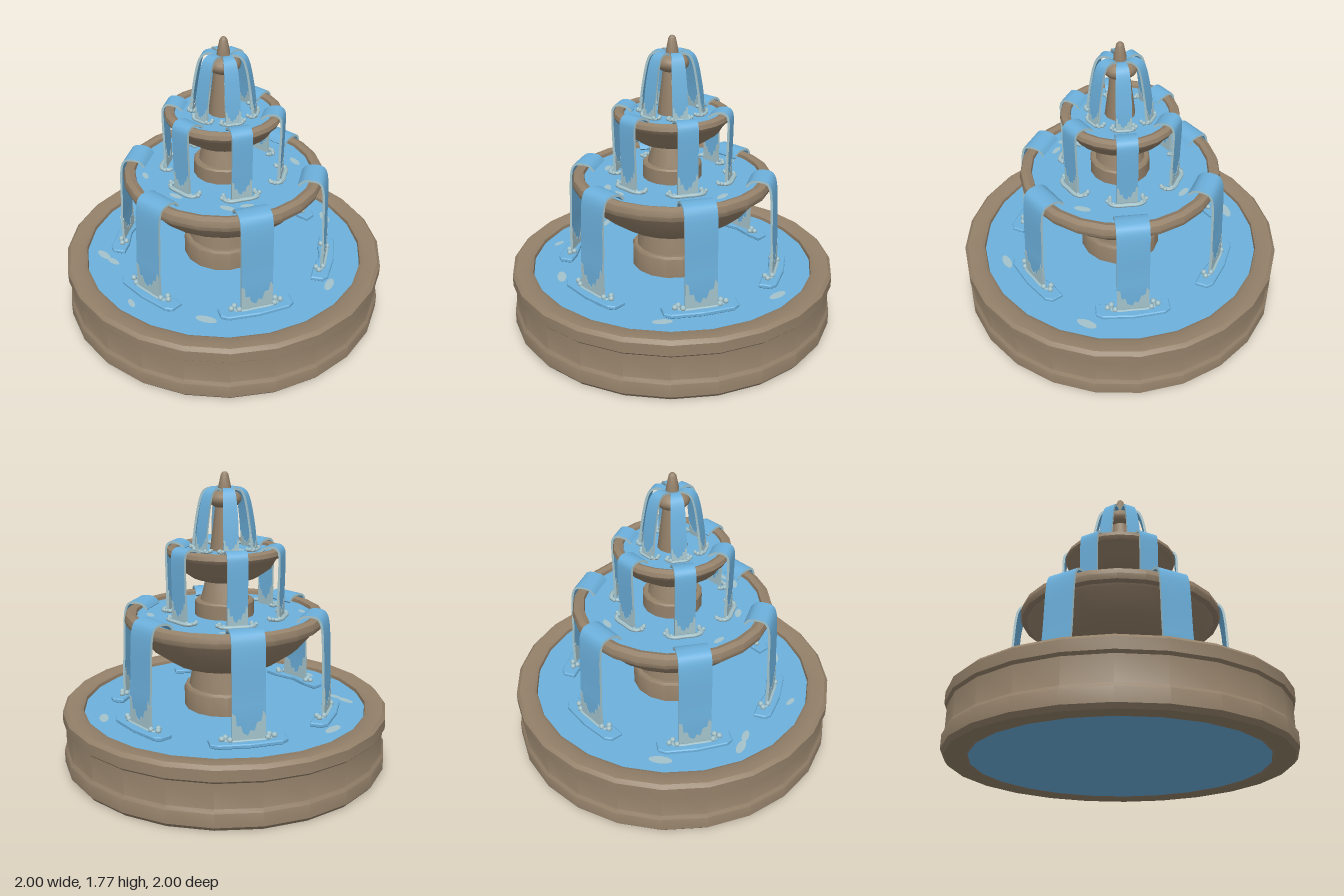
import * as THREE from 'three';
import { toCreasedNormals } from 'three/addons/utils/BufferGeometryUtils.js';

const mat = (name, color) => {
  const m = new THREE.MeshStandardMaterial({ color });
  m.name = name;
  return m;
};

export function createModel() {
  const stone = mat('stone', 0x94816a);
  const water = mat('water', 0x6cb0dc);
  const foam = mat('foam', 0xa4c3cb);
  const root = new THREE.Group();
  root.name = 'fountain';

  const add = (parent, name, geo, material) => {
    const m = new THREE.Mesh(geo, material);
    m.name = name;
    parent.add(m);
    return m;
  };
  const lathe = (name, pts, sides) => add(root, name, toCreasedNormals(
    new THREE.LatheGeometry(pts.map(([r, y]) => new THREE.Vector2(r, y)), sides), 0.65), stone);
  const disc = (name, r, y, up = true) => {
    const m = add(root, name, new THREE.CircleGeometry(r, 48), water);
    m.rotation.x = up ? -Math.PI / 2 : Math.PI / 2;
    m.position.y = y;
  };

  // Stone basin and bowls
  lathe('basin', [[0.85, 0.3], [0.845, 0.01], [0.88, 0], [0.98, 0], [1, 0.025], [1, 0.105], [0.985, 0.125],
    [0.985, 0.27], [1, 0.285], [1, 0.35], [0.98, 0.37], [0.9, 0.37], [0.875, 0.355], [0.865, 0.3]], 24);
  lathe('middleBowl', [[0.01, 0.615], [0.22, 0.615], [0.33, 0.638], [0.46, 0.73], [0.56, 0.85], [0.567, 0.862],
    [0.6, 0.87], [0.61, 0.9], [0.6, 0.933], [0.57, 0.946], [0.54, 0.935], [0.53, 0.89]], 24);
  lathe('upperBowl', [[0.01, 1.13], [0.14, 1.13], [0.2, 1.15], [0.285, 1.21], [0.318, 1.268], [0.335, 1.276],
    [0.348, 1.3], [0.342, 1.324], [0.315, 1.336], [0.29, 1.325], [0.28, 1.29]], 24);

  // Stepped, tapering columns
  lathe('lowerColumn', [[0.25, 0.3], [0.25, 0.455], [0.24, 0.47], [0.22, 0.47], [0.19, 0.63]], 16);
  lathe('middleColumn', [[0.18, 0.88], [0.18, 1.0], [0.172, 1.01], [0.148, 1.01], [0.11, 1.14]], 16);
  lathe('upperColumn', [[0.092, 1.29], [0.055, 1.58]], 12);

  // Knob and finial
  const knob = add(root, 'knob', new THREE.SphereGeometry(0.1, 16, 10), stone);
  knob.scale.y = 0.58;
  knob.position.y = 1.612;
  lathe('finial', [[0.042, 1.64], [0.036, 1.69], [0.022, 1.755], [0.012, 1.768], [0, 1.77]], 10);

  // Still water
  disc('basinWater', 0.87, 0.335);
  disc('basinUnderside', 0.855, 0.008, false);
  disc('middleWater', 0.54, 0.915);
  disc('upperWater', 0.29, 1.31);

  // Water sheet: a thickened path extruded sideways, with foam on its two edges
  const sheet = (path, width, taper) => {
    const curve = new THREE.SplineCurve(path.map(([r, y]) => new THREE.Vector2(r, y)));
    const outer = [], inner = [];
    for (let i = 0; i <= 22; i++) {
      const p = curve.getPoint(i / 22), t = curve.getTangent(i / 22);
      const n = new THREE.Vector2(-t.y, t.x).multiplyScalar(0.007);
      outer.push(p.clone().add(n));
      inner.unshift(p.clone().sub(n));
    }
    const geo = new THREE.ExtrudeGeometry(new THREE.Shape([...outer, ...inner]),
      { depth: width, bevelEnabled: false });
    geo.translate(0, 0, -width / 2);
    if (taper) {
      const p = geo.attributes.position;
      for (let i = 0; i < p.count; i++) {
        const k = THREE.MathUtils.clamp(0.5 + (p.getX(i) - 0.03) * 5, 0.5, 1.2);
        p.setZ(i, p.getZ(i) * k);
      }
    }
    return toCreasedNormals(geo, 0.6);
  };

  // Ragged foam at the foot of a sheet; profile in fractions of width and height
  const ragged = [[-0.5, 0], [-0.5, 1], [-0.4, 0.95], [-0.36, 0.6], [-0.24, 0.62], [-0.18, 0.4],
    [-0.03, 0.3], [0.05, 0.48], [0.16, 0.42], [0.24, 0.7], [0.36, 0.72], [0.42, 1.05], [0.5, 0.9], [0.5, 0]];
  const splash = (w, h) => new THREE.ExtrudeGeometry(
    new THREE.Shape(ragged.map(([x, y]) => new THREE.Vector2(x * w, y * h))),
    { depth: 0.018, bevelEnabled: false }).translate(0, 0, -0.009).rotateY(Math.PI / 2);

  // Flat pool pad spreading from the foot of a lower sheet
  const pad = (r, L) => {
    const s = new THREE.Shape([[r - 0.045, -L], [r - 0.045, -L * 0.6], [r - 0.02, 0], [r - 0.045, L * 0.6],
      [r - 0.045, L], [r + 0.02, L], [r + 0.045, L * 0.85], [r + 0.06, 0], [r + 0.045, -L * 0.85], [r + 0.02, -L]]
      .map(([x, z]) => new THREE.Vector2(x, z)));
    return new THREE.ExtrudeGeometry(s, { depth: 0.015, bevelSize: 0.006, bevelThickness: 0.006, bevelSegments: 1 })
      .rotateX(-Math.PI / 2);
  };

  // Curled foam roll hugging the foot of a sheet
  const roll = (r, L, size) => {
    const c = new THREE.CatmullRomCurve3([[-size * 3, -L], [size * 0.2, -L * 1.02], [size * 1.5, -L * 0.7],
      [size * 1.6, 0], [size * 1.5, L * 0.7], [size * 0.2, L * 1.02], [-size * 3, L]]
      .map(([x, z]) => new THREE.Vector3(r + x, 0, z)));
    return new THREE.TubeGeometry(c, 28, size, 6).scale(1, 0.8, 1);
  };

  // Three tiers of falls, six around each
  const tiers = [
    { name: 'lower', path: [[0.475, 0.92], [0.505, 0.952], [0.56, 0.96], [0.607, 0.94], [0.628, 0.85],
      [0.638, 0.62], [0.645, 0.5], [0.645, 0.33]], width: 0.19, y: 0.34, foot: 0.19, L: 0.125, size: 0.01, pad: true },
    { name: 'middle', path: [[0.235, 1.312], [0.262, 1.335], [0.31, 1.346], [0.343, 1.33], [0.354, 1.28],
      [0.352, 1.1], [0.35, 1.0], [0.35, 0.91]], width: 0.12, y: 0.918, foot: 0.13, L: 0.095, size: 0.015 },
    { name: 'upper', path: [[0.03, 1.655], [0.07, 1.673], [0.115, 1.66], [0.142, 1.6], [0.165, 1.48],
      [0.176, 1.4], [0.186, 1.305]], width: 0.075, y: 1.313, foot: 0.09, L: 0.058, size: 0.01, taper: true },
  ];
  for (const t of tiers) {
    const n = t.path.length;
    const [r0, y0] = t.path[n - 2], [r, y1] = t.path[n - 1];
    const sheetGeo = sheet(t.path, t.width, t.taper);
    const splashGeo = splash(t.width * (t.taper ? 1.18 : 1), t.foot);
    const rollGeo = roll(r, t.L, t.size);
    const padGeo = t.pad && pad(r, 0.215);
    const beadGeo = new THREE.SphereGeometry(t.pad ? 0.017 : 0.012, 8, 6);
    for (let k = 0; k < 6; k++) {
      const g = new THREE.Group();
      g.name = t.name + 'Fall';
      g.rotation.y = k * Math.PI / 3;
      root.add(g);
      add(g, 'waterSheet', sheetGeo, [foam, water]);
      const f = add(g, 'footFoam', splashGeo, foam);
      f.position.set(r, y1, 0);
      f.rotation.z = Math.atan2(r - r0, y0 - y1);
      if (t.pad) add(g, 'poolPad', padGeo, water).position.y = t.y;
      add(g, 'foamRoll', rollGeo, foam).position.y = t.y + (t.pad ? 0.02 : 0.008);
      for (const s of [-1, 1]) {
        const spots = [[r - t.size * 3, t.L], [r + t.size, t.L * 0.86], [r - t.size, t.L * 1.2]];
        for (const [bx, bz] of spots)
          add(g, 'foamBead', beadGeo, foam).position.set(bx, t.y + (t.pad ? 0.03 : 0.014), s * bz);
      }
    }
  }

  // Drifting foam flecks: x, z, length, turn
  const flecks = (y, list) => {
    for (const [x, z, len, turn] of list) {
      const m = add(root, 'foamFleck', new THREE.CircleGeometry(len, 12).scale(1, 0.42, 1)
        .rotateX(-Math.PI / 2).rotateY(turn), foam);
      m.position.set(x, y, z);
    }
  };
  flecks(0.339, [[-0.73, -0.22, 0.07, 1.2], [0.6, -0.48, 0.065, -1.1], [0.71, 0.24, 0.06, 1.4],
    [0.06, 0.71, 0.065, -0.1], [-0.4, 0.67, 0.04, -0.9], [-0.72, 0.26, 0.06, -0.6],
    [-0.64, 0.31, 0.05, -0.5], [0.37, 0.54, 0.05, 0.6]]);
  flecks(0.919, [[0.41, -0.19, 0.05, -0.9], [0.12, 0.42, 0.05, -0.2], [-0.2, 0.36, 0.045, -0.4],
    [0.22, 0.37, 0.04, 0.4], [-0.44, 0.18, 0.04, -1], [-0.15, -0.42, 0.045, 0.3]]);
  return root;
}
